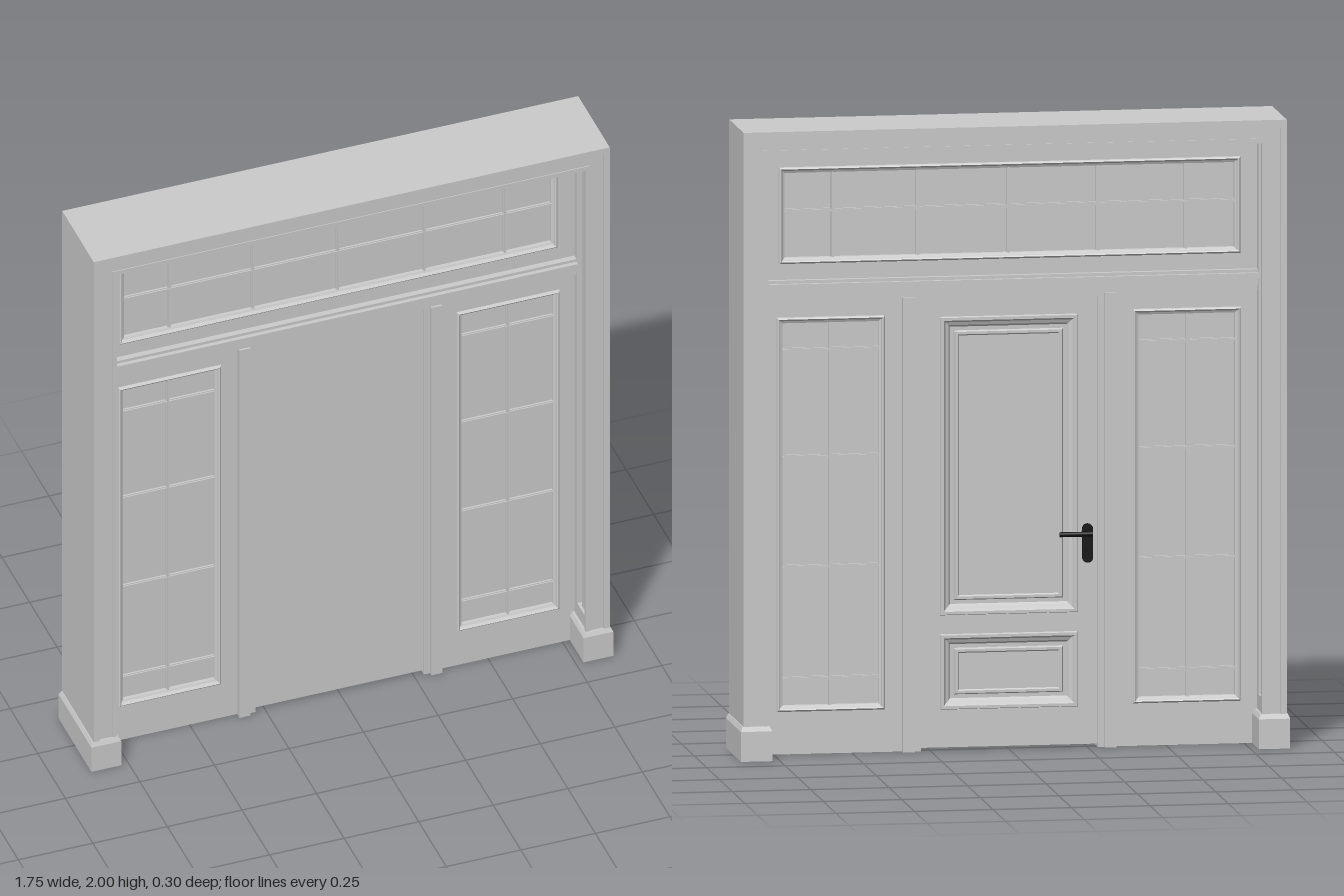
import * as THREE from 'three';

const grey = new THREE.MeshStandardMaterial({ color: 0xcccccc, flatShading: true });
const black = new THREE.MeshStandardMaterial({ color: 0x111111 });

// box given by its limits
function box(parent, name, x0, x1, y0, y1, z0, z1, mat = grey) {
  const m = new THREE.Mesh(new THREE.BoxGeometry(x1 - x0, y1 - y0, z1 - z0), mat);
  m.position.set((x0 + x1) / 2, (y0 + y1) / 2, (z0 + z1) / 2);
  m.name = name;
  parent.add(m);
  return m;
}

function rectPoints(x0, x1, y0, y1) {
  return [[x0, y0], [x1, y0], [x1, y1], [x0, y1]].map(p => new THREE.Vector2(...p));
}

function extrude(parent, name, shape, z0, z1) {
  const m = new THREE.Mesh(new THREE.ExtrudeGeometry(shape, { depth: z1 - z0, bevelEnabled: false }), grey);
  m.position.z = z0;
  m.name = name;
  parent.add(m);
}

// flat rectangular frame with one or more openings
function panelFrame(parent, name, outer, openings, z0, z1) {
  const s = new THREE.Shape(rectPoints(...outer));
  openings.forEach(o => s.holes.push(new THREE.Path(rectPoints(...o))));
  extrude(parent, name, s, z0, z1);
}

// mitred moulding: profile is [inset, z] from the outer edge inwards
function moulding(parent, name, [x0, x1, y0, y1], profile, back = false) {
  const pos = [];
  const loop = ([i, z]) => [[x0 + i, y0 + i, z], [x1 - i, y0 + i, z], [x1 - i, y1 - i, z], [x0 + i, y1 - i, z]];
  for (let k = 0; k < profile.length - 1; k++) {
    const a = loop(profile[k]), b = loop(profile[k + 1]);
    for (let c = 0; c < 4; c++) {
      const d = (c + 1) % 4;
      pos.push(...a[c], ...a[d], ...b[d], ...a[c], ...b[d], ...b[c]);
    }
  }
  const g = new THREE.BufferGeometry();
  g.setAttribute('position', new THREE.Float32BufferAttribute(pos, 3));
  g.computeVertexNormals();
  if (back) g.rotateY(Math.PI);
  const m = new THREE.Mesh(g, grey);
  m.name = name;
  parent.add(m);
}

// U-shaped layer of the surround, inset gives the opening
function surroundLayer(parent, name, outerX, outerY, innerX, innerY, z0, z1) {
  const pts = [[-outerX, 0], [-innerX, 0], [-innerX, innerY], [innerX, innerY],
    [innerX, 0], [outerX, 0], [outerX, outerY], [-outerX, outerY]];
  extrude(parent, name, new THREE.Shape(pts.map(p => new THREE.Vector2(...p))), z0, z1);
}

const bead = [[0, 0.019], [0.002, 0.026], [0.006, 0.029], [0.01, 0.026], [0.012, 0.019], [0.019, 0.016], [0.02, 0.006]];

// glazed light with frame, beads and bars
function glazedLight(name, outer, opening, verticals, horizontals) {
  const g = new THREE.Group();
  g.name = name;
  const [x0, x1, y0, y1] = opening;
  panelFrame(g, 'lightFrame', outer, [opening], -0.02, 0.02);
  box(g, 'pane', x0, x1, y0, y1, -0.006, 0.006);
  moulding(g, 'frontBead', opening, bead);
  moulding(g, 'backBead', [-x1, -x0, y0, y1], bead, true);
  const e = 0.018, w = 0.006;
  for (const x of verticals) {
    box(g, 'verticalBar', x - w, x + w, y0 + e, y1 - e, -0.013, 0.013);
    box(g, 'verticalBarRidge', x - w / 2, x + w / 2, y0 + e, y1 - e, -0.017, 0.017);
  }
  for (const y of horizontals) {
    box(g, 'horizontalBar', x0 + e, x1 - e, y - w, y + w, -0.0125, 0.0125);
    box(g, 'horizontalBarRidge', x0 + e, x1 - e, y - w / 2, y + w / 2, -0.0165, 0.0165);
  }
  return g;
}

function makeSurround() {
  const g = new THREE.Group();
  g.name = 'surround';
  surroundLayer(g, 'surroundCore', 0.865, 2, 0.79, 1.93, -0.05, 0.05);
  for (const s of [-1, 1]) {
    const layer = (name, ox, oy, ix, iy, a, b) =>
      surroundLayer(g, name, ox, oy, ix, iy, Math.min(s * a, s * b), Math.max(s * a, s * b));
    layer('revealRecess', 0.865, 2, 0.806, 1.946, 0.05, 0.115);
    layer('revealBead', 0.83, 1.97, 0.799, 1.939, 0.07, 0.095);
    layer('innerFascia', 0.865, 2, 0.79, 1.93, 0.115, 0.136);
    layer('outerFascia', 0.865, 2, 0.845, 1.975, 0.136, 0.143);
    layer('edgeBead', 0.801, 1.941, 0.786, 1.926, 0.128, 0.139);
    for (const m of [-1, 1]) {
      const xs = [m * 0.79, m * 0.83].sort((a, b) => a - b);
      const zs = [s * 0.05, s * 0.115].sort((a, b) => a - b);
      box(g, 'revealFoot', ...xs, 0.1, 0.16, ...zs);
    }
  }
  // plinth blocks with a sloped top
  for (const m of [-1, 1]) {
    const xs = [m * 0.775, m * 0.875].sort((a, b) => a - b);
    box(g, 'plinth', ...xs, 0, 0.095, -0.149, 0.149);
    const cap = box(g, 'plinthCap', ...xs, 0.095, 0.11, -0.149, 0.149);
    const p = cap.geometry.attributes.position;
    for (let i = 0; i < p.count; i++) {
      if (p.getY(i) > 0) p.setXYZ(i, p.getX(i) * 0.86, p.getY(i), p.getZ(i) * 0.96);
    }
    cap.geometry.computeVertexNormals();
  }
  return g;
}

function makeDoor() {
  const g = new THREE.Group();
  g.name = 'door';
  const panels = [[-0.22, 0.22, 0.43, 1.38], [-0.22, 0.22, 0.13, 0.37]];
  box(g, 'doorLeaf', -0.285, 0.285, 0.01, 1.435, -0.004, 0.02);
  panelFrame(g, 'stilesAndRails', [-0.285, 0.285, 0.01, 1.435], panels, -0.02, -0.004);
  for (const p of panels) {
    moulding(g, 'panelMoulding', p, [[0, 0.019], [0.003, 0.029], [0.012, 0.029], [0.018, 0.02],
      [0.028, 0.016], [0.034, 0.008], [0.046, 0.008], [0.05, 0.017], [0.058, 0.017], [0.062, 0.012]], true);
    box(g, 'raisedPanel', p[0] + 0.06, p[1] - 0.06, p[2] + 0.06, p[3] - 0.06, -0.012, -0.004);
  }
  // lever handle
  const h = new THREE.Group();
  h.name = 'handle';
  h.position.set(-0.25, 0.68, -0.02);
  const rod = (name, r, len, x, y, z, axis) => {
    const m = new THREE.Mesh(new THREE.CylinderGeometry(r, r, len, 20), black);
    m.rotation[axis] = Math.PI / 2;
    m.position.set(x, y, z);
    m.name = name;
    h.add(m);
  };
  box(h, 'handlePlate', -0.017, 0.017, -0.075, 0.015, -0.012, 0.001, black);
  rod('plateTop', 0.017, 0.013, 0, 0.015, -0.0055, 'x');
  rod('plateBottom', 0.017, 0.013, 0, -0.075, -0.0055, 'x');
  rod('handleNeck', 0.01, 0.045, 0, 0.005, -0.03, 'x');
  rod('lever', 0.008, 0.105, 0.043, 0.005, -0.05, 'z');
  rod('lockCylinder', 0.008, 0.02, 0, -0.055, -0.012, 'x');
  g.add(h);
  return g;
}

export function createModel() {
  const root = new THREE.Group();
  root.name = 'entranceDoor';
  root.add(makeSurround());

  const inner = new THREE.Group();
  inner.name = 'doorScreen';
  inner.position.z = 0.004;
  root.add(inner);

  // transom light above the rail
  inner.add(glazedLight('transomLight', [-0.795, 0.795, 1.5, 1.935], [-0.738, 0.733, 1.56, 1.868],
    [-0.565, -0.285, 0, 0.29, 0.56], [1.728]));

  // stepped transom rail
  [[1.445, 1.46, 0.035], [1.46, 1.482, 0.046], [1.482, 1.5, 0.054], [1.5, 1.51, 0.04]].forEach(([a, b, d]) =>
    box(inner, 'transomRail', -0.79, 0.79, a, b, -d, d));

  for (const s of [-1, 1]) {
    const span = (a, b) => [s * a, s * b].sort((p, q) => p - q);
    inner.add(glazedLight(s > 0 ? 'leftSidelight' : 'rightSidelight', [...span(0.335, 0.795), 0, 1.447],
      [...span(0.395, 0.74), 0.135, 1.39], [s * 0.57], [0.24, 0.595, 0.945, 1.285]));
    // stepped mullion beside the door
    box(inner, 'mullion', ...span(0.303, 0.34), 0, 1.446, -0.042, 0.042);
    box(inner, 'mullionStop', ...span(0.282, 0.303), 0, 1.446, -0.03, 0.03);
  }
  box(inner, 'doorHeadStop', -0.282, 0.282, 1.434, 1.446, -0.03, 0.03);
  inner.add(makeDoor());
  return root;
}
